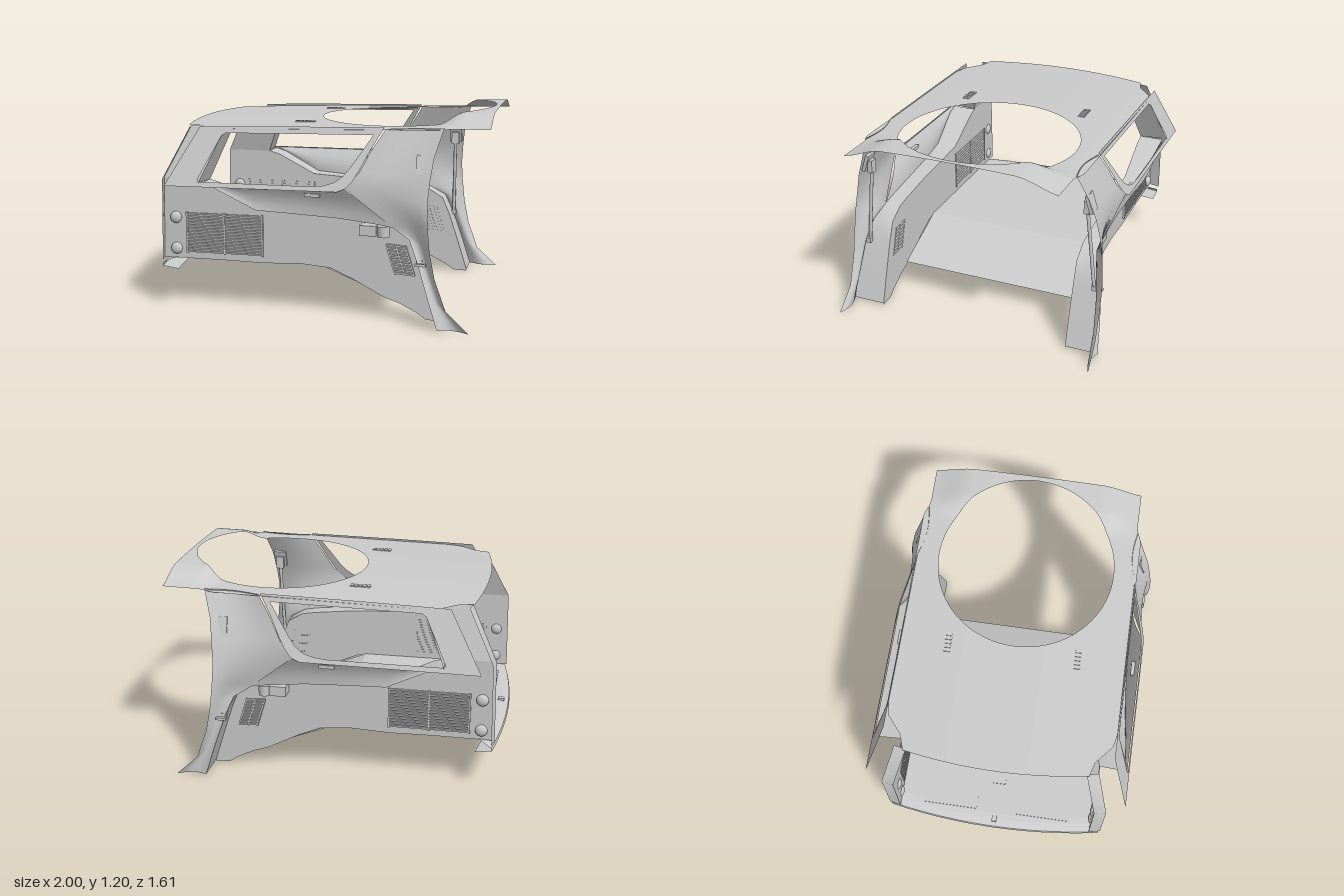
import * as THREE from 'three';

const mat = new THREE.MeshStandardMaterial({ color: 0xcccccc, side: THREE.DoubleSide });
const lerp = THREE.MathUtils.lerp;
const smooth = (a, b, x) => THREE.MathUtils.smoothstep(x, a, b);

function add(parent, name, geo, x = 0, y = 0, z = 0) {
  const m = new THREE.Mesh(geo, mat);
  m.name = name;
  m.position.set(x, y, z);
  parent.add(m);
  return m;
}
const box = (parent, name, w, h, d, x, y, z) => add(parent, name, new THREE.BoxGeometry(w, h, d), x, y, z);

// Surface through rows of [x, y, z] points, every row the same length
function loft(rows) {
  const n = rows[0].length, index = [];
  for (let i = 0; i < rows.length - 1; i++)
    for (let j = 0; j < n - 1; j++) {
      const a = i * n + j, b = a + n;
      index.push(a, b, a + 1, b, b + 1, a + 1);
    }
  const g = new THREE.BufferGeometry();
  g.setAttribute('position', new THREE.Float32BufferAttribute(rows.flat(2), 3));
  g.setIndex(index);
  g.computeVertexNormals();
  return g;
}

// Rows blended between two edges, with an optional inward sag in z
function between(a, b, steps = 1, sag = 0) {
  const rows = [];
  for (let s = 0; s <= steps; s++) {
    const t = s / steps;
    rows.push(a.map((p, i) => [
      lerp(p[0], b[i][0], t), lerp(p[1], b[i][1], t),
      lerp(p[2], b[i][2], t) - sag * Math.sin(Math.PI * t)]));
  }
  return loft(rows);
}

const roofY = (x, z) => 1.085 + 0.02 * (x + 0.8) + 0.018 * (1 - (z / 0.67) ** 2)
  + smooth(0.68, 0.82, x) * 0.06 * (1 - smooth(0.4, 0.66, Math.abs(z)));
const plateZ = y => 0.78 - 0.12 * (y - 0.76) / 0.36;

// Headliner: rings from the round opening out to the roof outline
function roofGeometry() {
  const cx = 0.44, r = 0.53, x0 = -0.8, x1 = 1, hw = 0.67;
  const angles = [];
  for (let i = 0; i < 144; i++) angles.push(-Math.PI + i * Math.PI / 72);
  for (const x of [x0, x1]) for (const z of [-hw, hw]) angles.push(Math.atan2(z, x - cx));
  angles.sort((a, b) => a - b);
  angles.push(angles[0]);
  const rows = [];
  for (let s = 0; s <= 16; s++)
    rows.push(angles.map(a => {
      const c = Math.cos(a), k = Math.sin(a), t = s / 16;
      const far = Math.min(c > 0 ? (x1 - cx) / c : (x0 - cx) / Math.min(c, -1e-6), hw / Math.max(Math.abs(k), 1e-6));
      const d = lerp(r, far, t);
      let x = cx + d * c, z = d * k;
      const rear = 1 - smooth(-0.78, -0.56, x);
      z *= 1 - t * (0.045 * smooth(0.68, 0.78, x) + 0.2 * rear);
      x -= rear * t * 0.05 * (1 - (z / 0.53) ** 2);
      return [x, roofY(x, z), z];
    }));
  return loft(rows);
}

// Load floor with a bowed rear sill and a sloping front flap
function floorGeometry() {
  const profile = [[-0.9, 0.235, 0.66], [-1, 0.25, 0.66], [-0.995, 0.268, 0.66], [-0.95, 0.29, 0.64],
    [-0.92, 0.295, 0.6], [-0.8, 0.295, 0.6], [0.02, 0.295, 0.6], [0.02, 0.295, 0.6], [0.42, 0.135, 0.6]];
  return loft(profile.map(([x, y, hw]) => {
    const row = [];
    for (let i = 0; i <= 24; i++) {
      const s = i / 12 - 1;
      row.push([x + (x < -0.85 ? 0.06 * s * s : 0), y, s * hw]);
    }
    return row;
  })).toNonIndexed();
}

// Quarter-window surround, leaning inwards with height
function windowPlate() {
  const pts = a => a.map(p => new THREE.Vector2(...p));
  const shape = new THREE.Shape(pts([[-0.87, 0.76], [0.16, 0.765], [0.21, 0.785], [0.25, 0.83], [0.29, 0.9],
    [0.34, 1.0], [0.41, 1.122], [-0.2, 1.112], [-0.68, 1.1]]));
  shape.holes.push(new THREE.Path(pts([[-0.67, 0.8], [-0.66, 0.79], [0, 0.79], [0.08, 0.797], [0.14, 0.815],
    [0.19, 0.85], [0.23, 0.9], [0.35, 1.08], [-0.52, 1.067], [-0.545, 1.05]])));
  const g = new THREE.ShapeGeometry(shape), p = g.attributes.position;
  for (let i = 0; i < p.count; i++) p.setZ(i, plateZ(p.getY(i)));
  g.computeVertexNormals();
  return g;
}

function sidePanel() {
  const side = new THREE.Group();
  const inner = 0.6;

  // Lower lining, from the floor edge up to the ridge over the wheel arch
  const bottom = [[-0.95, 0.29], [-0.65, 0.29], [-0.58, 0.29], [-0.33, 0.285], [-0.1, 0.295], [0.08, 0.28],
    [0.22, 0.22], [0.4, 0.125], [0.5, 0.09], [0.6, 0.04], [0.65, 0.005], [0.74, 0]].map(p => [...p, inner]);
  const ridge = [[-0.94, 0.78], [-0.65, 0.78], [-0.58, 0.76], [-0.33, 0.63], [-0.1, 0.615], [0.15, 0.6],
    [0.38, 0.575], [0.47, 0.56], [0.57, 0.5], [0.62, 0.38], [0.68, 0.2], [0.74, 0.01]].map(p => [...p, inner]);
  add(side, 'lowerLining', between(bottom, ridge, 4));

  // Ledge running outwards along the ridge and down the front of the arch
  const depth = [0.76, 0.76, 0.73, 0.71, 0.7, 0.7, 0.7, 0.73, 0.765, 0.79, 0.8];
  const outer = ridge.slice(1).map((p, i) => [p[0], p[1], depth[i]]);
  add(side, 'archLedge', between(ridge.slice(1), outer));

  // Belt below the window
  const belt = [-0.65, -0.58, -0.33, -0.1, 0.05, 0.13, 0.2].map(x => [x, 0.785, 0.765]);
  add(side, 'beltPanel', between(outer.slice(0, 7), belt, 4, 0.015));

  // Front pillar with flared edge and foot
  const rear = [...outer.slice(6).reverse(), [0.2, 0.785, 0.765], [0.28, 0.87, 0.735],
    [0.34, 0.99, 0.7], [0.42, 1.115, 0.66]];
  const front = [[0.92, 0, 0.805], [0.79, 0.12, 0.8], [0.725, 0.3, 0.8], [0.695, 0.45, 0.8], [0.68, 0.6, 0.79],
    [0.675, 0.72, 0.772], [0.685, 0.85, 0.745], [0.7, 0.97, 0.705], [0.745, 1.125, 0.645]];
  const rearFit = [rear[0], rear[1], rear[2], rear[3], rear[4], ...rear.slice(5)];
  add(side, 'frontPillar', between(rearFit, front, 8, 0.025));

  // Rear pillar trim: inner face, window reveal and tailgate flange
  const low = [[-0.94, 0.78, inner], [-0.65, 0.78, inner]], high = [[-0.79, 1.085, 0.52], [-0.53, 1.08, 0.52]];
  add(side, 'rearPillar', between(low, high, 4));
  add(side, 'windowReveal', between([low[1], high[1]], [[-0.66, 0.785, 0.775], [-0.535, 1.08, 0.674]], 2));
  add(side, 'windowHeader', between([high[1], [0.38, 1.1, 0.66]], [[-0.535, 1.075, 0.674], [0.38, 1.09, 0.67]]));
  const edge = [[-0.95, 0.29, inner], low[0], high[0]];
  add(side, 'tailgateFlange', between(edge, edge.map(([x, y, z]) => [x + 0.015, y, z + 0.07])));
  add(side, 'windowSurround', windowPlate());

  // Slatted storage grille
  const grille = new THREE.Group();
  grille.name = 'storageGrille';
  side.add(grille);
  for (let i = 0; i < 14; i++) box(grille, 'grilleSlat', 0.47, 0.009, 0.014, -0.565, 0.335 + i * 0.0178, 0.604);
  for (const x of [-0.8, -0.565, -0.33]) box(grille, 'grilleBar', 0.01, 0.25, 0.018, x, 0.45, 0.604);

  // Slanted air vent on the arch
  const vent = new THREE.Group();
  vent.name = 'archVent';
  side.add(vent);
  for (let i = 0; i < 9; i++)
    box(vent, 'ventSlat', 0.115, 0.01, 0.016, 0.472 + i * 0.0065, 0.435 - i * 0.0205, 0.606).rotation.z = -0.08;
  for (const dx of [-0.055, 0, 0.055])
    box(vent, 'ventBar', 0.009, 0.18, 0.018, 0.498 + dx, 0.352, 0.606).rotation.z = 0.3;

  // Round fixing caps at the tailgate
  for (const y of [0.54, 0.35]) {
    const cap = add(side, 'fixingCap', new THREE.SphereGeometry(0.036, 20, 12), -0.87, y, 0.605);
    cap.scale.z = 0.6;
  }

  // Cup recess, belt pocket, pillar cover and small latch
  box(side, 'cupRecess', 0.1, 0.06, 0.08, 0.32, 0.53, 0.64);
  add(side, 'cupHolder', new THREE.CylinderGeometry(0.038, 0.034, 0.065, 20, 1, true), 0.405, 0.525, 0.645);
  box(side, 'beltPocket', 0.09, 0.02, 0.03, 0.01, 0.735, 0.735);
  const cover = box(side, 'pillarCover', 0.08, 0.11, 0.02, 0.64, 0.925, 0.7);
  cover.rotation.x = -0.3;
  box(side, 'pillarLatch', 0.06, 0.015, 0.02, 0.64, 0.37, 0.77);

  // Seat belt and its anchors
  const strap = new THREE.LineCurve3(new THREE.Vector3(0.64, 0.88, 0.68), new THREE.Vector3(0.63, 0.38, 0.73));
  add(side, 'seatBelt', new THREE.TubeGeometry(strap, 1, 0.011, 8));
  box(side, 'beltGuide', 0.05, 0.08, 0.03, 0.64, 0.9, 0.68);
  box(side, 'beltAnchor', 0.035, 0.03, 0.03, 0.63, 0.38, 0.735);
  return side;
}

export function createModel() {
  const model = new THREE.Group();
  model.name = 'cargoInterior';
  add(model, 'headliner', roofGeometry());
  const floor = floorGeometry();
  floor.computeVertexNormals();
  add(model, 'loadFloor', floor);
  box(model, 'floorHandle', 0.05, 0.008, 0.08, -0.7, 0.297, 0);
  box(model, 'sillLatch', 0.04, 0.015, 0.03, -0.95, 0.295, 0);

  for (const s of [1, -1]) {
    const side = sidePanel();
    side.name = s > 0 ? 'frontSidePanel' : 'backSidePanel';
    side.scale.z = s;
    model.add(side);
    // Roof lamp and sill tread strip
    for (let i = 0; i < 5; i++) box(model, 'roofLampBar', 0.018, 0.012, 0.04, -0.17 + i * 0.025, roofY(-0.12, 0.39), s * 0.385);
    box(model, 'sillTread', 0.09, 0.006, 0.34, -0.86, 0.297, s * 0.29);
  }
  return model;
}
